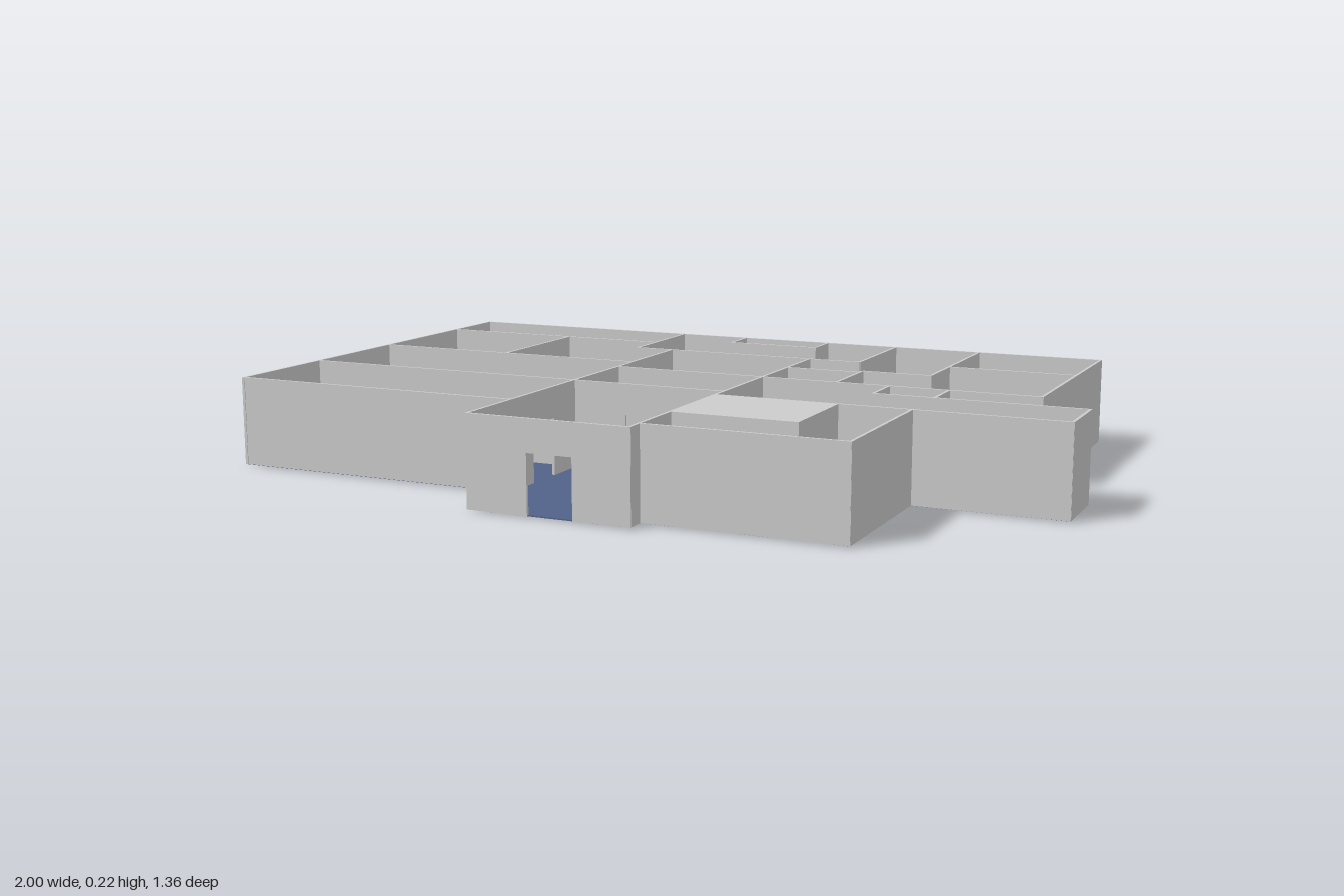
import * as THREE from 'three';

const BASE = 0.004, TOP = 0.222, DOOR_TOP = 0.145, THICK = 0.007;

const grey = new THREE.MeshStandardMaterial({ color: 0xcccccc });
const blue = new THREE.MeshStandardMaterial({ color: 0x52638a });
const olive = new THREE.MeshStandardMaterial({ color: 0x8c8a3c });

function shapeFrom(points) {
  return new THREE.Shape(points.map(([x, y]) => new THREE.Vector2(x, y)));
}

// Upright wall panel along 'x' or 'z', notched from the floor for each doorway
function wall(name, axis, at, from, to, doors = []) {
  const points = [[from, BASE]];
  for (const [a, b] of doors) points.push([a, BASE], [a, DOOR_TOP], [b, DOOR_TOP], [b, BASE]);
  points.push([to, BASE], [to, TOP], [from, TOP]);
  const geometry = new THREE.ExtrudeGeometry(shapeFrom(points), { depth: THICK, bevelEnabled: false });
  geometry.translate(0, 0, -THICK / 2);
  if (axis === 'z') geometry.rotateY(-Math.PI / 2);
  const mesh = new THREE.Mesh(geometry, grey);
  mesh.position[axis === 'x' ? 'z' : 'x'] = at;
  mesh.name = name;
  return mesh;
}

// Flat slab from a plan outline given as [x, z]
function slab(name, outline, bottom, height, material, hole) {
  const shape = shapeFrom(outline.map(([x, z]) => [x, -z]));
  if (hole) shape.holes.push(new THREE.Path(hole.map(([x, z]) => new THREE.Vector2(x, -z))));
  const geometry = new THREE.ExtrudeGeometry(shape, { depth: height, bevelEnabled: false });
  geometry.rotateX(-Math.PI / 2);
  const mesh = new THREE.Mesh(geometry, material);
  mesh.position.y = bottom;
  mesh.name = name;
  return mesh;
}

export function createModel() {
  const house = new THREE.Group();
  house.name = 'floorPlan';

  // Floor, open where the solid block stands
  const outline = [
    [-0.997, -0.68], [0.86, -0.68], [0.86, -0.055], [0.637, -0.055], [0.637, 0.06],
    [0.997, 0.06], [0.997, 0.228], [0.637, 0.228], [0.637, 0.627], [0.16, 0.627],
    [0.16, 0.675], [-0.24, 0.675], [-0.24, 0.487], [-0.997, 0.487],
  ];
  const block = [[0.163, 0.226], [0.465, 0.226], [0.465, 0.476], [0.163, 0.476]];
  house.add(slab('floor', outline, 0.003, 0.003, blue, block));
  house.add(slab('solidBlock', block, 0.003, TOP - 0.003, grey));

  // Outer walls
  const outer = [
    ['x', -0.677, -1, 0.863],
    ['z', -0.997, -0.68, 0.49],
    ['x', 0.485, -1, -0.24],
    ['x', 0.675, -0.243, 0.163, [[-0.09, 0.022]]],
    ['x', 0.627, 0.16, 0.64],
    ['z', 0.637, 0.228, 0.63],
    ['x', 0.228, 0.465, 1],
    ['z', 0.997, 0.06, 0.23],
    ['x', 0.06, 0.487, 1],
    ['z', 0.637, -0.055, 0.06],
    ['z', 0.86, -0.68, -0.053],
  ];
  // Partitions with their doorways
  const inner = [
    ['x', -0.49, -1, -0.345, [[-0.88, -0.78]]],
    ['z', -0.62, -0.49, -0.14, [[-0.33, -0.25]]],
    ['x', -0.14, -1, -0.24, [[-0.9, -0.8]]],
    ['z', -0.342, -0.68, -0.38, [[-0.63, -0.53]]],
    ['x', -0.38, -0.345, 0.3, [[-0.11, 0]]],
    ['z', 0.298, -0.68, -0.38, [[-0.59, -0.49]]],
    ['z', -0.24, -0.38, 0.675, [[0.29, 0.39]]],
    ['z', 0.16, -0.38, 0.675, [[-0.36, -0.27], [-0.17, -0.08], [0.52, 0.61]]],
    ['x', 0.18, -1, 0.16, [[-0.72, -0.62], [-0.1, 0.01]]],
    ['x', -0.055, -0.24, 0.86, [[0.38, 0.47]]],
    ['z', 0.533, -0.68, -0.245, [[-0.49, -0.42]]],
    ['x', -0.4, 0.533, 0.86, [[0.67, 0.77]]],
    ['x', -0.245, 0.355, 0.535],
    ['z', 0.355, -0.245, -0.055],
    ['x', -0.222, 0.16, 0.355],
    ['z', 0.489, -0.055, 0.06],
  ];
  // Chimney breast
  const chimney = [
    ['z', -0.148, -0.68, -0.576],
    ['z', 0.1, -0.68, -0.576],
    ['x', -0.578, -0.15, 0.103],
  ];
  for (const [name, list] of [['outerWall', outer], ['partition', inner], ['chimneyWall', chimney]]) {
    const group = new THREE.Group();
    group.name = name + 's';
    list.forEach((w) => group.add(wall(name, ...w)));
    house.add(group);
  }

  // Fireplace: hearth, two jambs and a stepped mantel
  const fireplace = new THREE.Group();
  fireplace.name = 'fireplace';
  const cx = -0.024, back = -0.575;
  const bay = (name, half, front, depth, bottom, height) => fireplace.add(slab(name, [
    [cx - half, back], [cx + half, back], [cx + half, back + depth * 0.3],
    [cx + front, back + depth], [cx - front, back + depth], [cx - half, back + depth * 0.3],
  ], bottom, height, olive));
  bay('hearth', 0.074, 0.035, 0.03, 0, 0.012);
  bay('mantelLower', 0.058, 0.028, 0.02, 0.112, 0.012);
  bay('mantelMiddle', 0.066, 0.032, 0.026, 0.124, 0.012);
  bay('mantelShelf', 0.074, 0.035, 0.031, 0.136, 0.012);
  for (const side of [-1, 1]) {
    const jamb = new THREE.Mesh(new THREE.BoxGeometry(0.02, 0.1, 0.012), olive);
    jamb.position.set(cx + side * 0.048, 0.062, back + 0.006);
    jamb.name = 'jamb';
    fireplace.add(jamb);
  }
  house.add(fireplace);

  return house;
}
